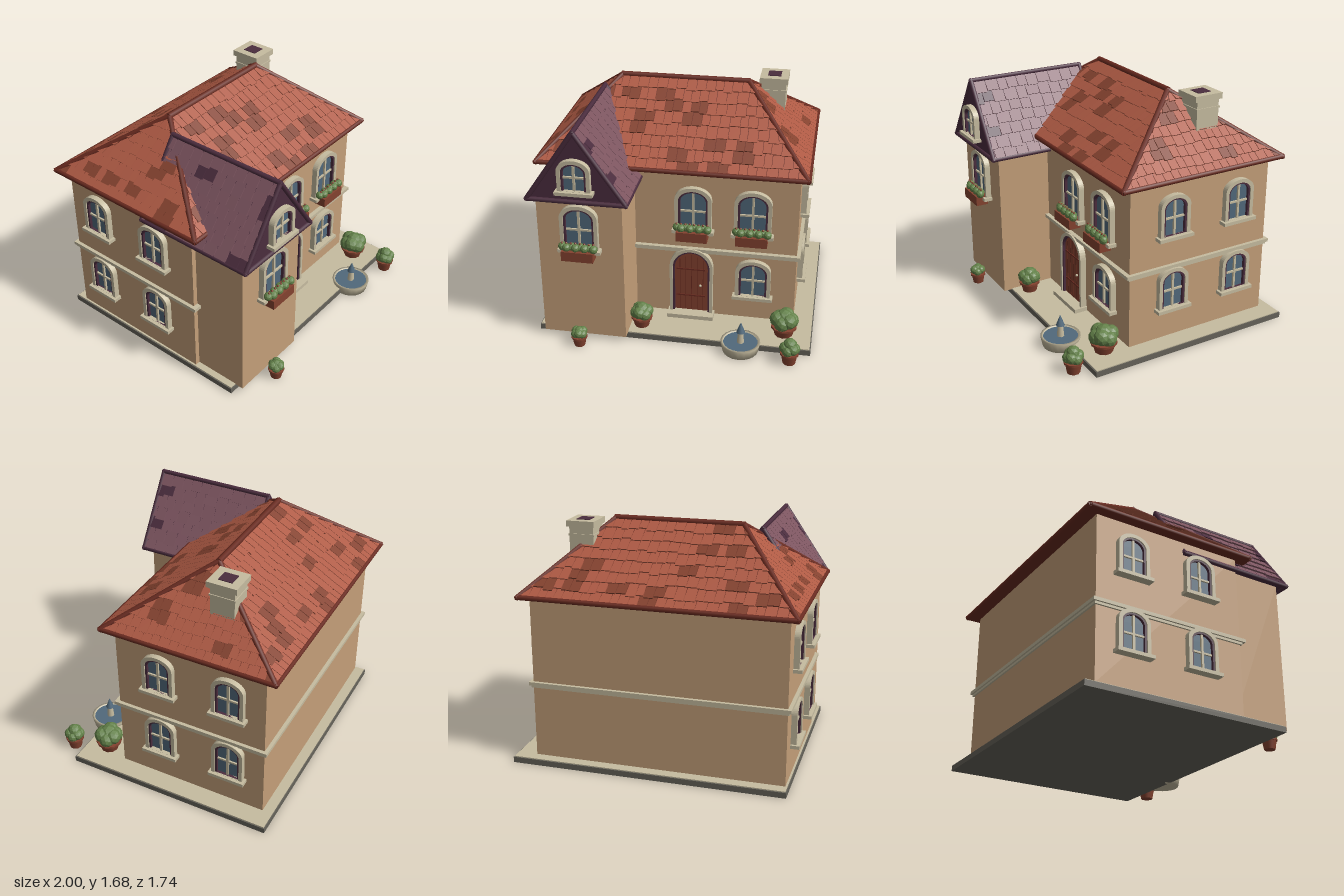
import * as THREE from 'three';
import { ConvexGeometry } from 'three/addons/geometries/ConvexGeometry.js';

const mat = (name, color, extra = {}) => {
  const m = new THREE.MeshStandardMaterial({ color, ...extra });
  m.name = name;
  return m;
};
const M = {
  wall: mat('plaster', 0xc49f79),
  cream: mat('cream stone', 0xc6bca0),
  stone: mat('grey stone', 0x66635a),
  tile: mat('roof tile', 0xae5a44),
  dark: mat('dark tile and wood', 0x84422f),
  trim: mat('roof trim', 0x6a2b20),
  purple: mat('dark purple', 0x4b2d3e),
  plum: mat('plum tile', 0x7d5560),
  glass: mat('blue glass', 0x51697b),
  leaf: mat('leaves', 0x64824a, { flatShading: true }),
};
const V = (x, y, z) => new THREE.Vector3(x, y, z);

let seed = 7;
const rnd = () => (seed = (seed * 16807) % 2147483647) / 2147483647;

function add(parent, name, geo, material, x = 0, y = 0, z = 0) {
  const m = new THREE.Mesh(geo, material);
  m.name = name;
  m.position.set(x, y, z);
  parent.add(m);
  return m;
}
// box given by its min and max corners
function box(parent, name, material, x0, x1, y0, y1, z0, z1) {
  return add(parent, name, new THREE.BoxGeometry(x1 - x0, y1 - y0, z1 - z0), material,
    (x0 + x1) / 2, (y0 + y1) / 2, (z0 + z1) / 2);
}
function rod(parent, name, material, a, b, r) {
  const m = add(parent, name, new THREE.CylinderGeometry(r, r, a.distanceTo(b) + r, 8), material);
  m.position.copy(a).lerp(b, 0.5);
  m.quaternion.setFromUnitVectors(V(0, 1, 0), b.clone().sub(a).normalize());
}

// arched outline; the top is half an ellipse
function arch(Kind, w, y0, y1, rise) {
  const s = new Kind();
  s.moveTo(-w, y0);
  s.lineTo(w, y0);
  s.lineTo(w, y1 - rise);
  s.absellipse(0, y1 - rise, w, rise, 0, Math.PI, false);
  s.lineTo(-w, y0);
  return s;
}
function archRing(w, h, rise, band, depth) {
  const s = arch(THREE.Shape, w, 0, h, rise);
  s.holes.push(arch(THREE.Path, w - band, 0.001, h - band, rise - band * 0.6));
  return new THREE.ExtrudeGeometry(s, { depth, bevelEnabled: false, curveSegments: 12 });
}

function windowUnit(parent, w, h, x, y, z, turn = 0, planter = false) {
  const g = new THREE.Group();
  g.name = 'window';
  const rise = w * 0.75;
  add(g, 'windowSurround', archRing(w + 0.024, h + 0.022, rise + 0.014, 0.026, 0.04), M.cream);
  add(g, 'windowFrame', archRing(w, h, rise, 0.016, 0.032), M.purple);
  add(g, 'windowGlass', new THREE.ShapeGeometry(arch(THREE.Shape, w - 0.012, 0, h - 0.012, rise), 12), M.glass, 0, 0, 0.012);
  box(g, 'windowMullion', M.cream, -0.008, 0.008, 0, h - 0.014, 0.01, 0.026);
  box(g, 'windowCrossbar', M.cream, 0.014 - w, w - 0.014, h * 0.44, h * 0.44 + 0.013, 0.01, 0.024);
  box(g, 'windowSill', M.cream, -w - 0.042, w + 0.042, -0.024, 0, 0, 0.062);
  if (planter) {
    box(g, 'planterBox', M.dark, -0.11, 0.11, -0.06, 0.01, 0.02, 0.11);
    for (let i = 0; i < 8; i++) {
      const px = -0.109 + i * 0.0311;
      add(g, 'planterLeaves', new THREE.IcosahedronGeometry(0.03, 1), M.leaf, px, 0.03, 0.07 + (i % 2 ? 0.008 : -0.008));
      add(g, 'planterFlower', new THREE.IcosahedronGeometry(0.009, 0), M.dark, px, 0.06, 0.07);
    }
  }
  g.position.set(x, y, z);
  g.rotation.y = turn;
  parent.add(g);
}

// overlapping tiles on a slope: a-b is the eave, d-c the top edge
function tileSlope(parent, name, a, b, c, d, rows, width, light, dark) {
  const e = b.clone().sub(a).normalize();
  const n = e.clone().cross(d.clone().sub(a)).normalize();
  const lists = [[], []];
  const at = (u, t, lift) => {
    const L = a.clone().lerp(d, t), R = b.clone().lerp(c, t);
    const uL = L.clone().sub(a).dot(e), uR = R.clone().sub(a).dot(e);
    return L.addScaledVector(e, THREE.MathUtils.clamp(u, uL, uR) - uL).addScaledVector(n, lift);
  };
  for (let r = 0; r < rows; r++) {
    const t0 = r / rows, t1 = (r + 1) / rows;
    const start = a.clone().lerp(d, t0).sub(a).dot(e), end = b.clone().lerp(c, t0).sub(a).dot(e);
    let u = start - rnd() * width, run = 0;
    while (u < end) {
      const u1 = u + width * (0.8 + rnd() * 0.4);
      if (run > 0) run--;
      else if (rnd() < 0.1) run = 2;
      const low = Math.max(0, t0 - rnd() * 0.25 / rows), g0 = u + 0.002, g1 = u1 - 0.002;
      const p = [at(g0, low, 0.015), at(g1, low, 0.015), at(g1, t1, 0.004), at(g0, t1, 0.004)];
      const q0 = at(g0, low, 0), q1 = at(g1, low, 0);
      [p[0], p[1], p[2], p[0], p[2], p[3], q0, q1, p[1], q0, p[1], p[0], q0, p[0], p[3], p[1], q1, p[2]]
        .forEach(v => lists[run > 0 ? 1 : 0].push(v.x, v.y, v.z));
      u = u1;
    }
  }
  lists.forEach((list, i) => {
    const geo = new THREE.BufferGeometry();
    geo.setAttribute('position', new THREE.Float32BufferAttribute(list, 3));
    geo.computeVertexNormals();
    add(parent, name + (i ? 'Dark' : 'Light'), geo, i ? dark : light);
  });
}

function pottedBush(parent, x, y, z, potR, potH, r, top) {
  const g = new THREE.Group();
  g.name = 'pottedBush';
  add(g, 'pot', new THREE.CylinderGeometry(potR, potR * 0.75, potH, 10), M.dark, 0, potH / 2, 0);
  add(g, 'potRim', new THREE.CylinderGeometry(potR * 1.1, potR * 1.1, 0.014, 10), M.dark, 0, potH - 0.007, 0);
  const h = top - y, k = r * 0.55;
  add(g, 'bushTop', new THREE.IcosahedronGeometry(k * 1.15, 1), M.leaf, 0, h - k * 1.15, 0);
  for (let i = 0; i < 6; i++) {
    const t = i * Math.PI / 3 + x;
    add(g, 'bushLump', new THREE.IcosahedronGeometry(k, 1), M.leaf,
      Math.cos(t) * (r - k), potH + k * (i % 2 ? 0.65 : 0.95), Math.sin(t) * (r - k));
  }
  g.position.set(x, y, z);
  parent.add(g);
}

export function createModel() {
  const house = new THREE.Group();
  house.name = 'house';

  // base and walls
  box(house, 'baseSlab', M.stone, -0.945, 0.995, 0, 0.04, -0.85, 0.675);
  box(house, 'paving', M.cream, -0.938, 0.988, 0.038, 0.046, -0.843, 0.668);
  box(house, 'mainWalls', M.wall, -0.925, 0.85, 0.04, 1.21, -0.77, 0.34);
  box(house, 'wingWalls', M.wall, -0.89, -0.3, 0.04, 1.13, 0.3, 0.73);
  box(house, 'stringCourseLower', M.cream, -0.938, 0.863, 0.555, 0.575, -0.783, 0.353);
  box(house, 'stringCourseUpper', M.cream, -0.95, 0.875, 0.572, 0.596, -0.795, 0.372);

  // hipped main roof
  const eave = [V(-0.98, 1.215, 0.42), V(0.9, 1.215, 0.42), V(0.9, 1.215, -0.85), V(-0.98, 1.215, -0.85)];
  const RL = V(-0.49, 1.66, -0.215), RR = V(0.42, 1.66, -0.215);
  add(house, 'mainRoofCore', new ConvexGeometry([...eave, ...eave.map(p => V(p.x, 1.2, p.z)), RL, RR]), M.trim);
  const tops = [[RR, RL], [RR, RR], [RL, RR], [RL, RL]];
  eave.forEach((p, i) => {
    const q = eave[(i + 1) % 4];
    tileSlope(house, 'mainRoofTiles', p, q, ...tops[i], 8, 0.066, M.tile, M.dark);
    rod(house, 'mainEave', M.trim, p, q, 0.018);
    rod(house, 'hipRidge', M.trim, p, i === 0 || i === 3 ? RL : RR, 0.019);
  });
  rod(house, 'mainRidge', M.trim, RL, RR, 0.022);

  // gabled wing roof
  const zf = 0.785, zb = -0.09;
  const [fl, fr, ft] = [V(-0.932, 1.12, zf), V(-0.257, 1.12, zf), V(-0.595, 1.615, zf)];
  const [bl, br, bt] = [fl, fr, ft].map(p => V(p.x, p.y, zb));
  add(house, 'wingRoofCore', new ConvexGeometry([fl, fr, ft, bl, br, bt]), M.purple);
  tileSlope(house, 'wingTilesLeft', fr, br, bt, ft, 7, 0.085, M.plum, M.purple);
  tileSlope(house, 'wingTilesRight', bl, fl, ft, bt, 7, 0.085, M.plum, M.purple);
  [[fl, ft], [fr, ft], [bl, bt], [br, bt], [fl, bl], [fr, br], [ft, bt], [fl, fr]]
    .forEach(([p, q]) => rod(house, 'wingRoofTrim', M.purple, p, q, 0.017));

  // chimney
  box(house, 'chimneyShaft', M.cream, 0.503, 0.677, 1.35, 1.64, -0.455, -0.28);
  box(house, 'chimneyBand', M.cream, 0.497, 0.683, 1.567, 1.58, -0.461, -0.274);
  box(house, 'chimneyCap', M.cream, 0.49, 0.69, 1.63, 1.672, -0.475, -0.258);
  box(house, 'chimneyFlue', M.purple, 0.543, 0.637, 1.668, 1.676, -0.417, -0.317);

  // windows
  for (const [x, z] of [[0.117, 0.34], [0.535, 0.34], [-0.594, 0.73]])
    windowUnit(house, 0.106, 0.303, x, 0.753, z, 0, true);
  windowUnit(house, 0.102, 0.265, 0.55, 0.248, 0.34);
  windowUnit(house, 0.087, 0.2, -0.594, 1.213, 0.785);
  for (const z of [0.01, -0.51])
    for (const y of [0.82, 0.285]) {
      windowUnit(house, 0.092, 0.268, 0.85, y, z, Math.PI / 2);
      windowUnit(house, 0.092, 0.268, -0.925, y, z, -Math.PI / 2);
    }

  // front door
  const door = new THREE.Group();
  door.name = 'frontDoor';
  door.position.set(0.107, 0.07, 0.34);
  house.add(door);
  add(door, 'doorSurround', archRing(0.155, 0.525, 0.145, 0.022, 0.045), M.cream);
  add(door, 'doorFrame', archRing(0.136, 0.506, 0.132, 0.016, 0.036), M.purple);
  add(door, 'doorLeaf', new THREE.ExtrudeGeometry(arch(THREE.Shape, 0.122, 0, 0.492, 0.12),
    { depth: 0.018, bevelEnabled: false, curveSegments: 12 }), M.dark);
  for (let i = -2; i <= 2; i++)
    box(door, 'plankGroove', M.trim, i * 0.042 - 0.002, i * 0.042 + 0.002, 0.01, 0.47 - Math.abs(i) * 0.018, 0.016, 0.02);
  for (const y of [0.13, 0.35]) box(door, 'doorStrap', M.trim, -0.11, 0.1, y - 0.005, y + 0.005, 0.016, 0.024);
  add(door, 'doorKnob', new THREE.SphereGeometry(0.01, 10, 8), M.cream, 0.066, 0.222, 0.028);
  box(door, 'doorStep', M.cream, -0.168, 0.168, -0.03, 0.006, 0, 0.1);

  // fountain
  const fountain = new THREE.Group();
  fountain.name = 'fountain';
  fountain.position.set(0.507, 0, 0.68);
  house.add(fountain);
  const profile = [[0, 0], [0.125, 0], [0.14, 0.07], [0.122, 0.07], [0.12, 0.05], [0, 0.05]].map(p => new THREE.Vector2(...p));
  add(fountain, 'basin', new THREE.LatheGeometry(profile, 20), M.cream);
  add(fountain, 'water', new THREE.CylinderGeometry(0.121, 0.121, 0.008, 20), M.glass, 0, 0.06, 0);
  add(fountain, 'column', new THREE.CylinderGeometry(0.018, 0.026, 0.09, 10), M.cream, 0, 0.105, 0);
  add(fountain, 'spout', new THREE.ConeGeometry(0.031, 0.08, 10), M.glass, 0, 0.187, 0);

  // potted bushes
  pottedBush(house, -0.617, 0, 0.81, 0.052, 0.075, 0.06, 0.145);
  pottedBush(house, -0.22, 0.045, 0.56, 0.07, 0.075, 0.085, 0.23);
  pottedBush(house, 0.795, 0.045, 0.505, 0.085, 0.075, 0.105, 0.245);
  pottedBush(house, 0.855, 0, 0.77, 0.06, 0.085, 0.074, 0.195);

  return house;
}
